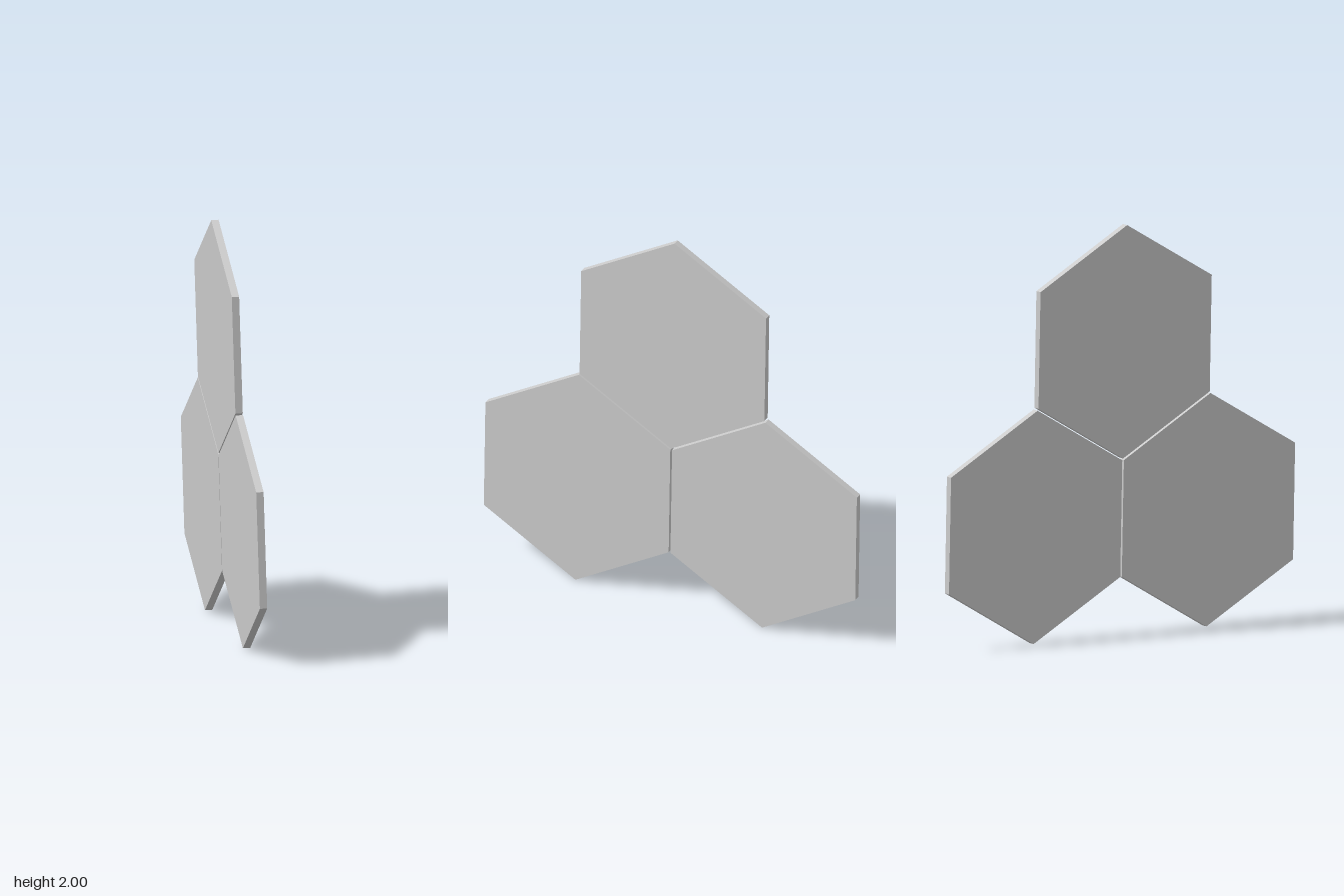
import * as THREE from 'three';

const RADIUS = 0.569;     // centre to corner of a panel
const THICKNESS = 0.036;
const SPACING = 0.995;    // distance between panel centres
const LEAN = 0.031;       // backward lean of the whole cluster

export function createModel() {
  const model = new THREE.Group();
  model.name = 'hexagonPanels';
  const material = new THREE.MeshStandardMaterial({ color: 0xcccccc, flatShading: true });

  // Hexagonal plate lying in the YZ plane with a corner pointing up
  const plate = new THREE.CylinderGeometry(RADIUS, RADIUS, THICKNESS, 6, 1, false, Math.PI / 6);
  plate.rotateZ(Math.PI / 2);

  const rise = SPACING * Math.sqrt(3) / 2;
  const cluster = new THREE.Group();
  cluster.name = 'panelCluster';

  // Two panels side by side with one nested above them
  const panels = [
    ['topPanel', rise / 2, 0],
    ['lowerFrontPanel', -rise / 2, SPACING / 2],
    ['lowerBackPanel', -rise / 2, -SPACING / 2],
  ];
  for (const [name, y, z] of panels) {
    const panel = new THREE.Mesh(plate, material);
    panel.name = name;
    panel.position.set(0, y, z);
    cluster.add(panel);
  }

  cluster.rotation.z = LEAN;
  cluster.position.y = 1;
  model.add(cluster);
  return model;
}
